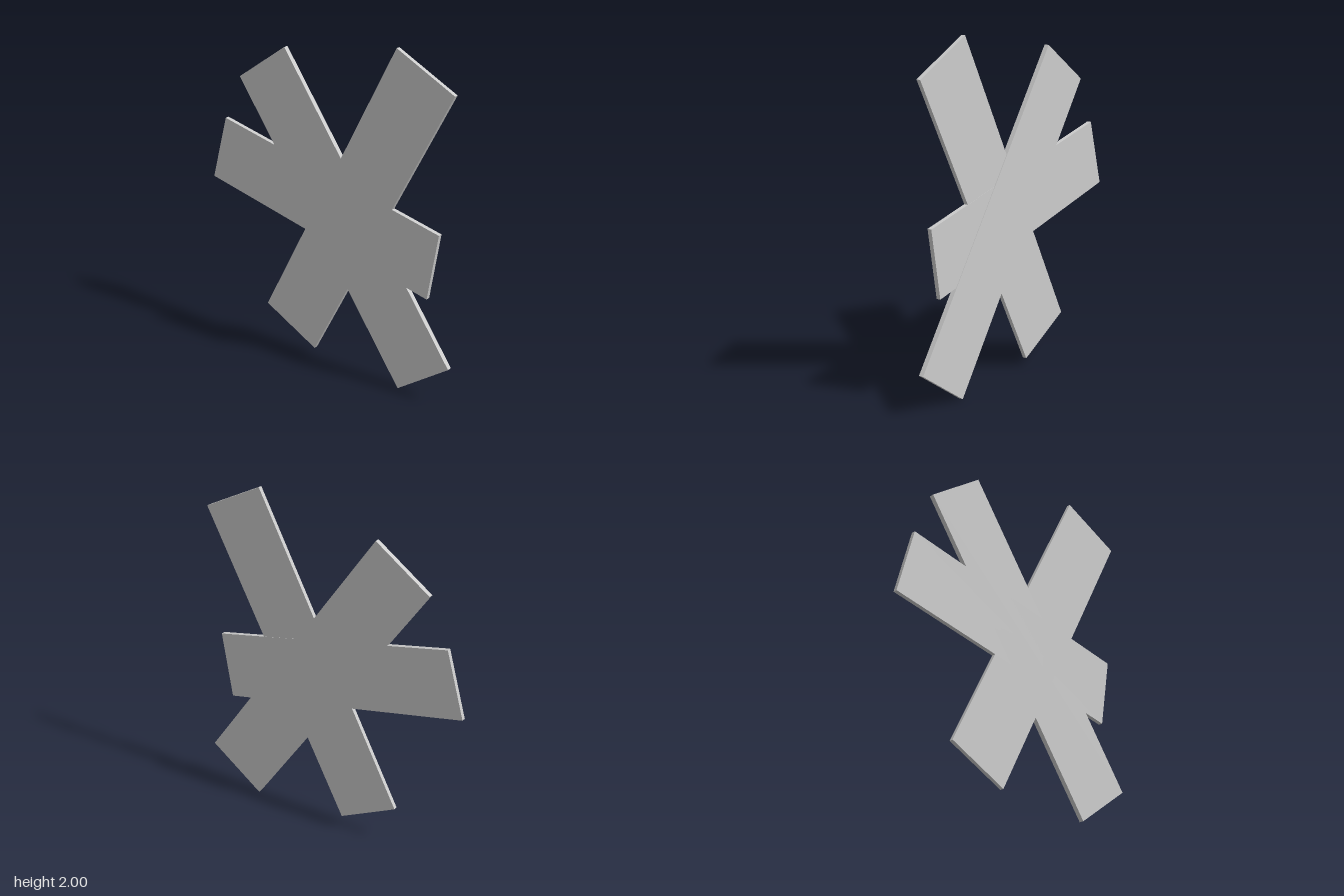
import * as THREE from 'three';

const BACK = -0.014; // shared back plane of all three planks

// Flat plank from four [z, y] corners, running from the back plane to x = front
function plank(name, corners, front, material) {
  const shape = new THREE.Shape(corners.map(([z, y]) => new THREE.Vector2(-z, y)));
  const geometry = new THREE.ExtrudeGeometry(shape, { depth: front - BACK, bevelEnabled: false });
  geometry.rotateY(Math.PI / 2).translate(BACK, 0, 0);
  const mesh = new THREE.Mesh(geometry, material);
  mesh.name = name;
  return mesh;
}

export function createModel() {
  const group = new THREE.Group();
  group.name = 'crossedPlanks';
  const material = new THREE.MeshStandardMaterial({ color: 0xcccccc, flatShading: true });

  group.add(
    // steep plank leaning towards the front
    plank('forwardPlank', [[0.828, 1.815], [-0.445, 0.235], [-0.085, 0.05], [0.463, 2]]
      .sort((a, b) => angle(a) - angle(b)), 0.010, material),
    // short, nearly level plank with skewed ends
    plank('levelPlank', [[0.762, 1.025], [0.697, 0.625], [-0.85, 0.96], [-0.742, 1.352]]
      .sort((a, b) => angle(a) - angle(b)), 0.0112, material),
    // steep plank leaning towards the back, standing slightly proud
    plank('backwardPlank', [[-0.29, 1.865], [-0.623, 1.63], [0.853, 0.24], [0.52, 0]]
      .sort((a, b) => angle(a) - angle(b)), 0.014, material),
  );
  return group;
}

// Angle of a corner around the crossing, used to order corners into a loop
function angle([z, y]) {
  return Math.atan2(y - 1, -z);
}
